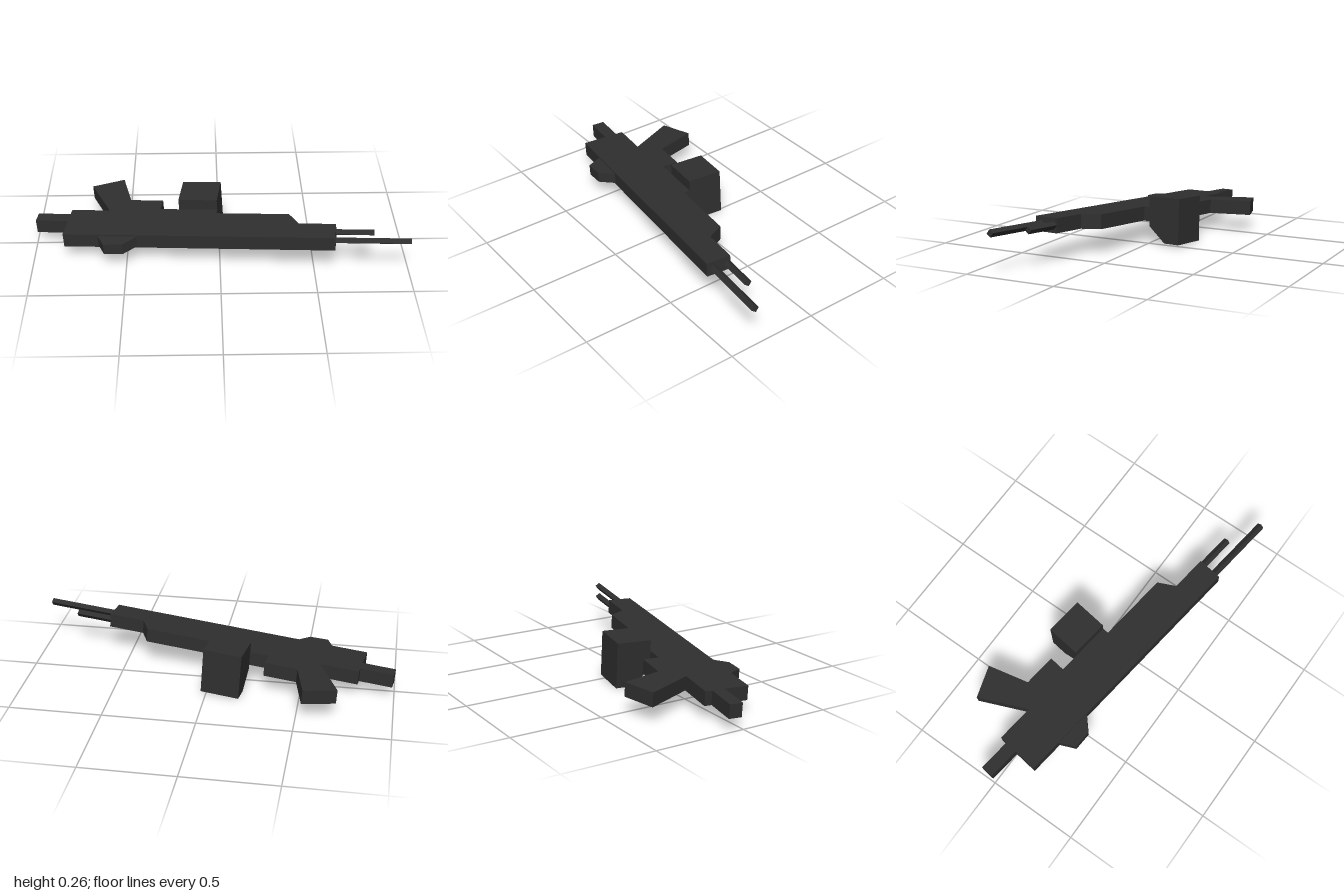
import * as THREE from 'three';

export function createModel() {
  const model = new THREE.Group();
  const metal = new THREE.MeshStandardMaterial({ color: 0x2f2f2f });
  metal.name = 'dark gunmetal';

  // Working frame: x along the barrel, y towards the grip, z through the thickness
  const rifle = new THREE.Group();
  rifle.name = 'rifle';
  model.add(rifle);

  const add = (name, geometry) => {
    const mesh = new THREE.Mesh(geometry, metal);
    mesh.name = name;
    rifle.add(mesh);
    return mesh;
  };
  const slab = (points, depth) => {
    const shape = new THREE.Shape(points.map(([x, y]) => new THREE.Vector2(x, y)));
    return new THREE.ExtrudeGeometry(shape, { depth, bevelEnabled: false }).translate(0, 0, -depth / 2);
  };

  // Receiver with stepped top, and sloping fore-end
  add('receiver', slab([
    [-0.812, -0.26], [0.64, -0.26], [0.64, -0.125], [0.441, -0.125], [0.385, -0.035],
    [-0.008, -0.035], [-0.008, 0], [-0.321, 0], [-0.321, 0.088], [-0.501, 0.088],
    [-0.579, 0.305], [-0.747, 0.229], [-0.602, -0.02], [-0.812, -0.02],
  ], 0.078));

  // Rear stock stub
  const stock = add('stock', new THREE.BoxGeometry(0.2, 0.07, 0.076));
  stock.position.set(-0.892, -0.094, 0);

  // Small sight block on the far edge
  add('sight', slab([
    [-0.625, -0.255], [-0.576, -0.341], [-0.475, -0.335], [-0.405, -0.255],
  ], 0.06));

  // Wide magazine with one chamfered corner, extruded along the barrel direction
  const magazine = add('magazine', slab([
    [0, 0.099], [0, -0.065], [0.1, -0.152], [0.19, -0.152], [0.19, 0.099],
  ], 0.21));
  magazine.rotation.setFromRotationMatrix(new THREE.Matrix4().makeBasis(
    new THREE.Vector3(0, 1, 0), new THREE.Vector3(0, 0, 1), new THREE.Vector3(1, 0, 0)));
  magazine.position.x = -0.113;

  // Two four-sided barrels
  for (const [name, end, y] of [['mainBarrel', 1.034, -0.221], ['upperBarrel', 0.84, -0.143]]) {
    const length = end - 0.6;
    const geometry = new THREE.CylinderGeometry(0.02, 0.02, length, 4).toNonIndexed();
    geometry.computeVertexNormals();
    geometry.rotateY(0.15).rotateZ(-Math.PI / 2);
    add(name, geometry).position.set(0.6 + length / 2, y, 0);
  }

  // Lay the rifle on its side, slightly turned and tilted
  const along = new THREE.Vector3(0.989, 0.059, 0.137).normalize();
  const up = new THREE.Vector3(-0.062, 0.998, 0.012);
  const across = up.clone().cross(along).normalize();
  up.crossVectors(along, across);
  rifle.rotation.setFromRotationMatrix(new THREE.Matrix4().makeBasis(along, across, up));
  rifle.position.y = 0.165;
  return model;
}
